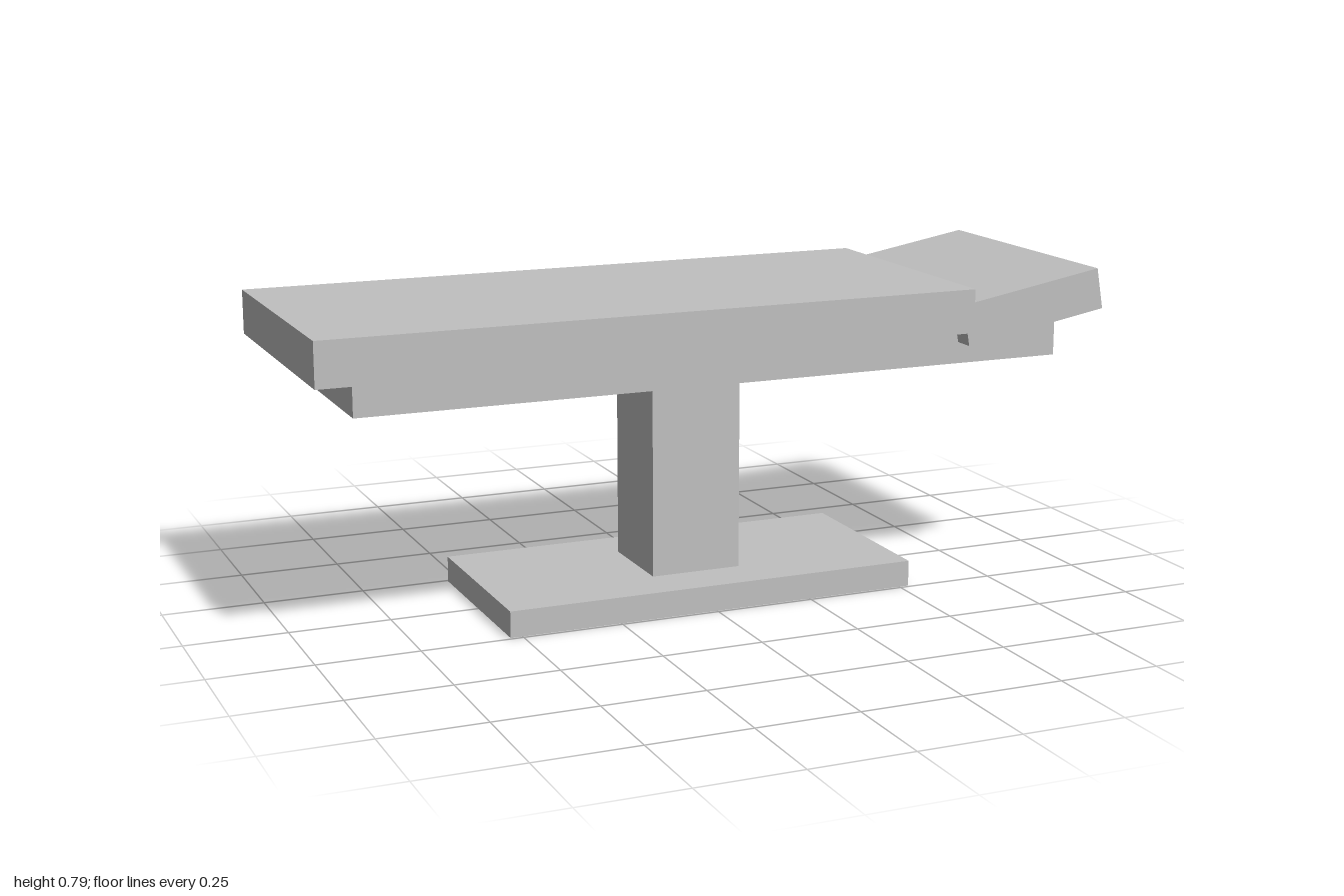
import * as THREE from 'three';

export function createModel() {
  const model = new THREE.Group();
  const grey = new THREE.MeshStandardMaterial({ color: 0xc0c0c0 });
  grey.name = 'lightGrey';

  const add = (name, geometry, x, y, z) => {
    const mesh = new THREE.Mesh(geometry, grey);
    mesh.name = name;
    mesh.position.set(x, y, z);
    model.add(mesh);
    return mesh;
  };
  // Box given by its x range, y range and full depth
  const slab = (name, x0, x1, y0, y1, depth) =>
    add(name, new THREE.BoxGeometry(x1 - x0, y1 - y0, depth), (x0 + x1) / 2, (y0 + y1) / 2, 0);

  slab('base', -0.53, 0.525, 0, 0.065, 0.486);
  slab('column', -0.117, 0.113, 0.065, 0.573, 0.234);
  slab('tableFrame', -0.903, 0.895, 0.573, 0.657, 0.58);
  slab('mattress', -1, 0.635, 0.657, 0.765, 0.688);

  // Headrest tilted up about its lower inner edge
  const length = 0.382, thickness = 0.103;
  const headrestGeometry = new THREE.BoxGeometry(length, thickness, 0.688);
  headrestGeometry.translate(length / 2, thickness / 2, 0);
  add('headrest', headrestGeometry, 0.622, 0.626, 0).rotation.z = THREE.MathUtils.degToRad(10);

  // Small peg hanging under the back edge of the mattress
  add('peg', new THREE.CylinderGeometry(0.0105, 0.0105, 0.045, 16), -0.31, 0.6365, -0.3175);

  return model;
}
